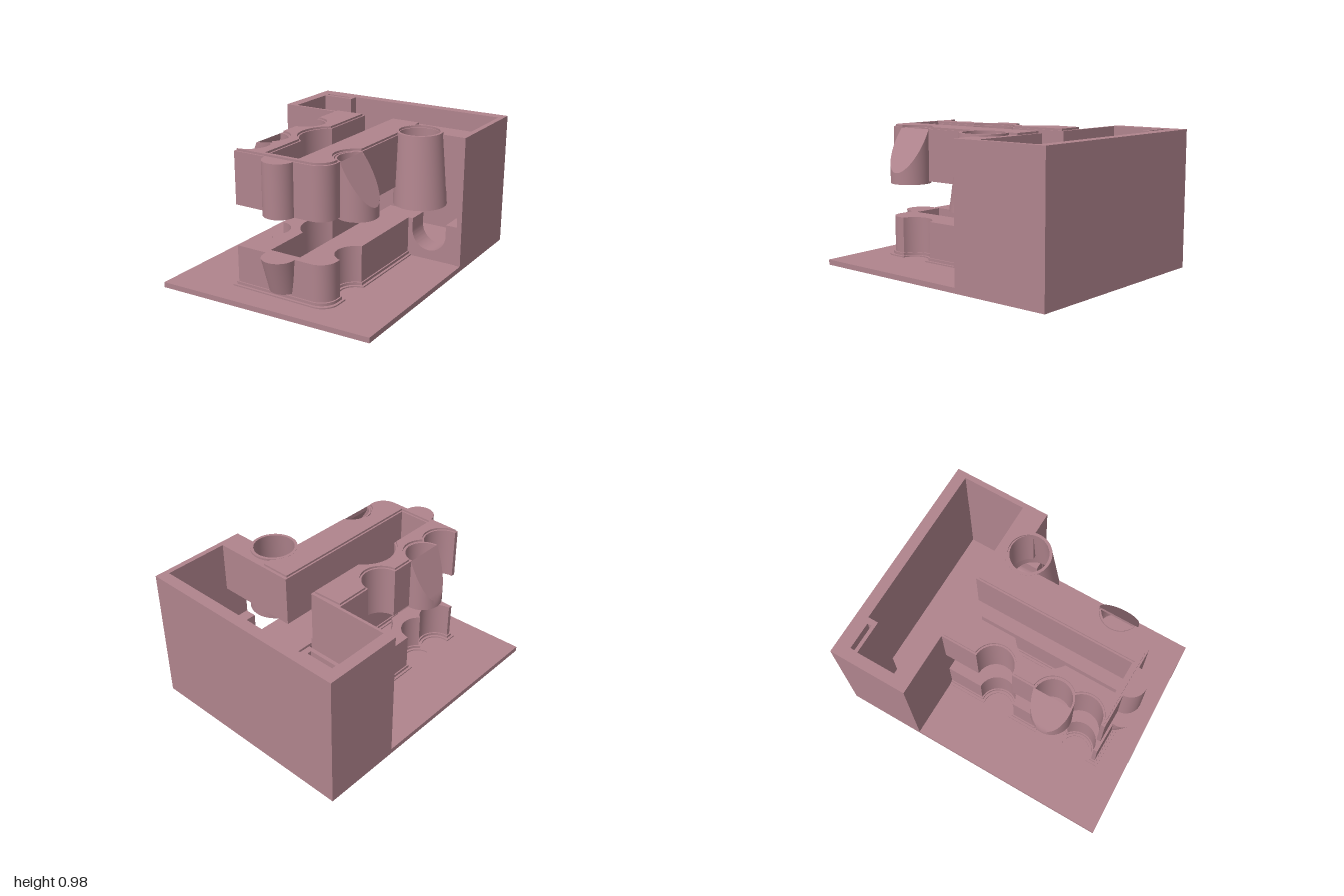
import * as THREE from 'three';
import { toCreasedNormals } from 'three/addons/utils/BufferGeometryUtils.js';

const material = new THREE.MeshStandardMaterial({ color: 0xb0848d });

// Points on an arc in plan (x, z); angle 0 points to +x, PI/2 to +z.
function arc(cx, cz, r, a0, a1, n = 24) {
  return Array.from({ length: n + 1 }, (_, i) => {
    const a = a0 + (a1 - a0) * i / n;
    return [cx + r * Math.cos(a), cz + r * Math.sin(a)];
  });
}

const toVectors = (points) => points.map(([x, z]) => new THREE.Vector2(x, -z));

// Plan outline extruded upward from y0 to y1.
function slab(points, y0, y1, holes = []) {
  const shape = new THREE.Shape(toVectors(points));
  shape.holes = holes.map((h) => new THREE.Path(toVectors(h)));
  return new THREE.ExtrudeGeometry(shape, { depth: y1 - y0, bevelEnabled: false })
    .rotateX(-Math.PI / 2).translate(0, y0, 0);
}

// Move every vertex by a rule.
function warp(geometry, rule) {
  const p = geometry.attributes.position;
  const v = new THREE.Vector3();
  for (let i = 0; i < p.count; i++) {
    rule(v.fromBufferAttribute(p, i));
    p.setXYZ(i, v.x, v.y, v.z);
  }
  return geometry;
}

// Hollow ring of unit height.
function ring(outer, inner) {
  const profile = [[inner, 0], [outer, 0], [outer, 1], [inner, 1], [inner, 0]];
  return new THREE.LatheGeometry(profile.map(([x, y]) => new THREE.Vector2(x, y)), 64);
}

// Outer edge of the tool rack, inset by d: left side, front tab, right side.
function rackEdge(d, tab) {
  const left = -0.33 + d, right = 0.365 - d, front = 0.762 - d;
  const R = 0.133 + d, t = Math.acos(d / R), meet = Math.asin(0.105 / R);
  const Rr = 0.137 + d, tr = Math.acos((0.4 - right) / Rr);
  const points = [
    ...arc(-0.33, -0.045, R, -t, t),
    ...arc(-0.33, 0.39, R, -t, meet),
    ...arc(-0.33, 0.6, R, -meet, t),
    [left, front],
  ];
  if (tab) points.push(...arc(0.018, front, 0.108, Math.PI, 0));
  points.push(
    ...arc(right - 0.115, front - 0.115, 0.115, Math.PI / 2, 0, 12),
    ...arc(0.4, 0.475, Rr, Math.PI - tr, Math.PI + tr),
  );
  return points;
}

// Central slot, widened by d, from its right back to its left back end.
function slotEdge(d, back) {
  const R = 0.221 + d, t = Math.acos((0.121 + d) / R);
  return [
    [0.13 + d, back], [0.13 + d, 0.71 + d], [-0.1 - d, 0.71 + d],
    ...arc(0.021, 0.165, R, Math.PI - t, Math.PI + t),
    [-0.1 - d, back],
  ];
}

const rack = (d, back, tab = false) => [
  [-0.33 + d, back], ...rackEdge(d, tab), [0.365 - d, back], ...slotEdge(d, back),
];

export function createModel() {
  const model = new THREE.Group();
  function add(name, geometry) {
    const mesh = new THREE.Mesh(toCreasedNormals(geometry, 0.5), material);
    mesh.name = name;
    model.add(mesh);
  }

  // Base plate with a slightly slanted front edge
  add('basePlate', slab([[-0.78, -1], [0.78, -1], [0.78, 0.935], [-0.78, 1]], 0, 0.037));

  // Lower walls of the rear bin, open toward the front
  add('binWalls', slab([
    [-0.78, -1], [-0.78, -0.44], [-0.09, -0.44], [-0.09, -0.46], [-0.7, -0.46],
    [-0.7, -0.845], [-0.46, -0.845], [-0.46, -0.92], [0.745, -0.92],
    [0.745, -0.29], [0.78, -0.29], [0.78, -1],
  ], 0.037, 0.605));

  // Upper layer: bin rim and overhanging tool rack in one piece
  const towerBite = arc(0.465, -0.24, 0.14, Math.PI - 0.775, Math.PI * 2 - 0.365);
  const cavity = [
    [-0.46, -0.92], [0.742, -0.92], [0.742, -0.46], ...slotEdge(0, -0.46),
    [-0.7, -0.46], [-0.7, -0.845], [-0.46, -0.845],
  ];
  const postSlot = [[-0.7 + 0.004, -0.9], [-0.5, -0.9], [-0.5, -0.87], [-0.696, -0.87]];
  add('upperRackAndBinRim', slab([
    [-0.78, -1], [-0.78, -0.44], [-0.33, -0.44], ...rackEdge(0, true),
    ...towerBite, [0.78, -0.29], [0.78, -1],
  ], 0.605, 0.965, [cavity, postSlot]));

  // Raised pad on the rack, notched around the tower
  const pad = [
    [-0.318, -0.43], ...rackEdge(0.012, false),
    ...arc(0.465, -0.24, 0.15, Math.PI - 0.75, Math.PI + 0.75),
    [0.353, -0.44], ...slotEdge(0.012, -0.44),
  ];
  add('rackPad', slab(pad, 0.965, 0.979));

  // Lower rack with a stepped foot
  add('lowerRack', slab(rack(0, -0.45), 0.037, 0.32));
  add('lowerRackFoot', slab(rack(-0.028, -0.45), 0.037, 0.046));
  add('lowerRackFootStep', slab(rack(-0.01, -0.45), 0.046, 0.065));

  // Cradle panel beside the lower rack
  const cradle = new THREE.Shape();
  cradle.moveTo(0.36, 0.037).lineTo(0.745, 0.037).lineTo(0.745, 0.32).lineTo(0.66, 0.32);
  cradle.lineTo(0.66, 0.235).absarc(0.53, 0.235, 0.13, 0, Math.PI, true);
  cradle.lineTo(0.4, 0.32).lineTo(0.36, 0.32);
  add('cradlePanel', new THREE.ExtrudeGeometry(cradle, { depth: 0.16, bevelEnabled: false, curveSegments: 24 })
    .translate(0, 0, -0.455));

  // Tapered half cup at the front of the lower rack
  add('frontCup', warp(new THREE.CylinderGeometry(0.113, 0.095, 0.24, 48), (v) => {
    const k = v.y / 0.24 + 0.5;
    v.set(v.x + 0.012, v.y + 0.2, Math.max(v.z + 0.725 + 0.055 * k, 0.73));
  }));

  // Hollow leaning tower
  add('tower', warp(ring(0.16, 0.14), (v) => {
    const k = 1 - v.y, s = 1 + 0.16 * k;
    v.set(v.x * s + 0.457 + 0.03 * k, 0.48 + 0.5 * v.y, v.z * s - 0.25 + 0.025 * k);
  }));

  // Side holders: open tubes with a slanted outer cover
  for (const [side, cx, cz, edge, slope] of [[-1, 0.33, 0.39, 0.33, 2.3], [1, 0.41, 0.475, 0.365, 1.6]]) {
    const name = side > 0 ? 'leftHolder' : 'rightHolder';
    const top = (x) => 0.964 - slope * Math.max(0, side * x - edge);
    add(name + 'Tube', warp(ring(0.14, 0.127), (v) => {
      const x = v.x + side * cx;
      v.set(x, 0.59 + v.y * (top(x) - 0.59), v.z + cz);
    }));
    const t = Math.acos((edge - cx) / 0.139);
    const cover = arc(cx, cz, 0.139, -t, t).map(([x, z]) => [side * x, z]);
    add(name + 'Cover', warp(slab(cover, 0, 1), (v) => {
      v.y = top(v.x) - 0.03 * (1 - v.y);
    }));
  }

  return model;
}
